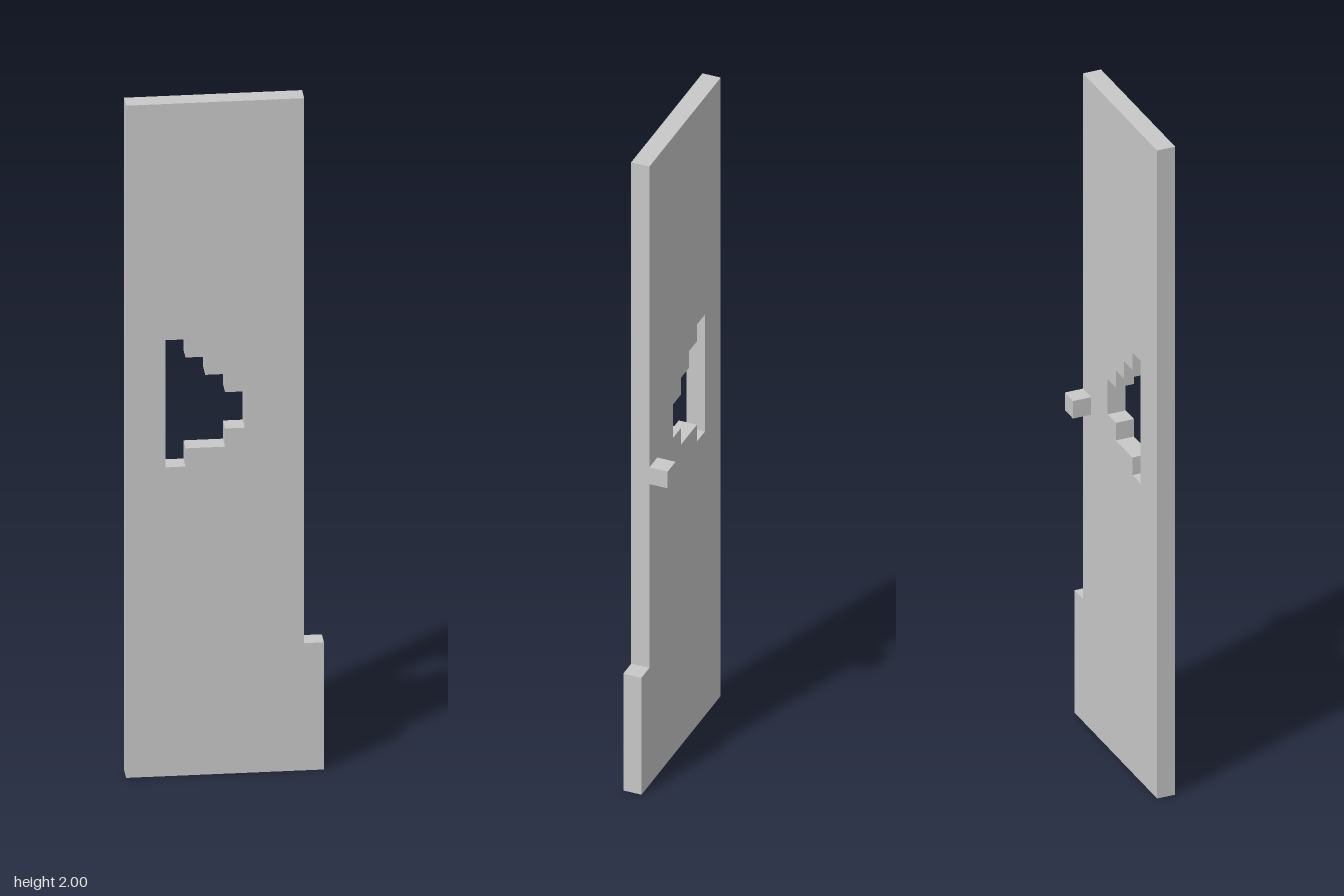
import * as THREE from 'three';

const U = 2 / 37; // one grid cell
const outline = (points, Type) =>
  new Type(points.map(([x, y]) => new THREE.Vector2((x - 5) * U, y * U)));

export function createModel() {
  const group = new THREE.Group();
  group.name = 'steppedPanel';
  const grey = new THREE.MeshStandardMaterial({ color: 0xc8c8c8 });
  grey.name = 'lightGrey';

  // Upright panel, one cell thick, with a wider foot on one side
  const shape = outline([[0, 0], [10, 0], [10, 7], [9, 7], [9, 37], [0, 37]], THREE.Shape);

  // Stepped window
  shape.holes.push(outline([
    [2, 17], [2, 24], [3, 24], [3, 23], [4, 23], [4, 22], [5, 22], [5, 21],
    [6, 21], [6, 19], [5, 19], [5, 18], [3, 18], [3, 17],
  ], THREE.Path));

  const panel = new THREE.Mesh(
    new THREE.ExtrudeGeometry(shape, { depth: U, bevelEnabled: false }), grey);
  panel.name = 'panel';
  group.add(panel);

  // Small cube knob on the back
  const knob = new THREE.Mesh(new THREE.BoxGeometry(U, U, U), grey);
  knob.name = 'knob';
  knob.position.set(3.5 * U, 18.5 * U, -U / 2);
  group.add(knob);

  return group;
}
